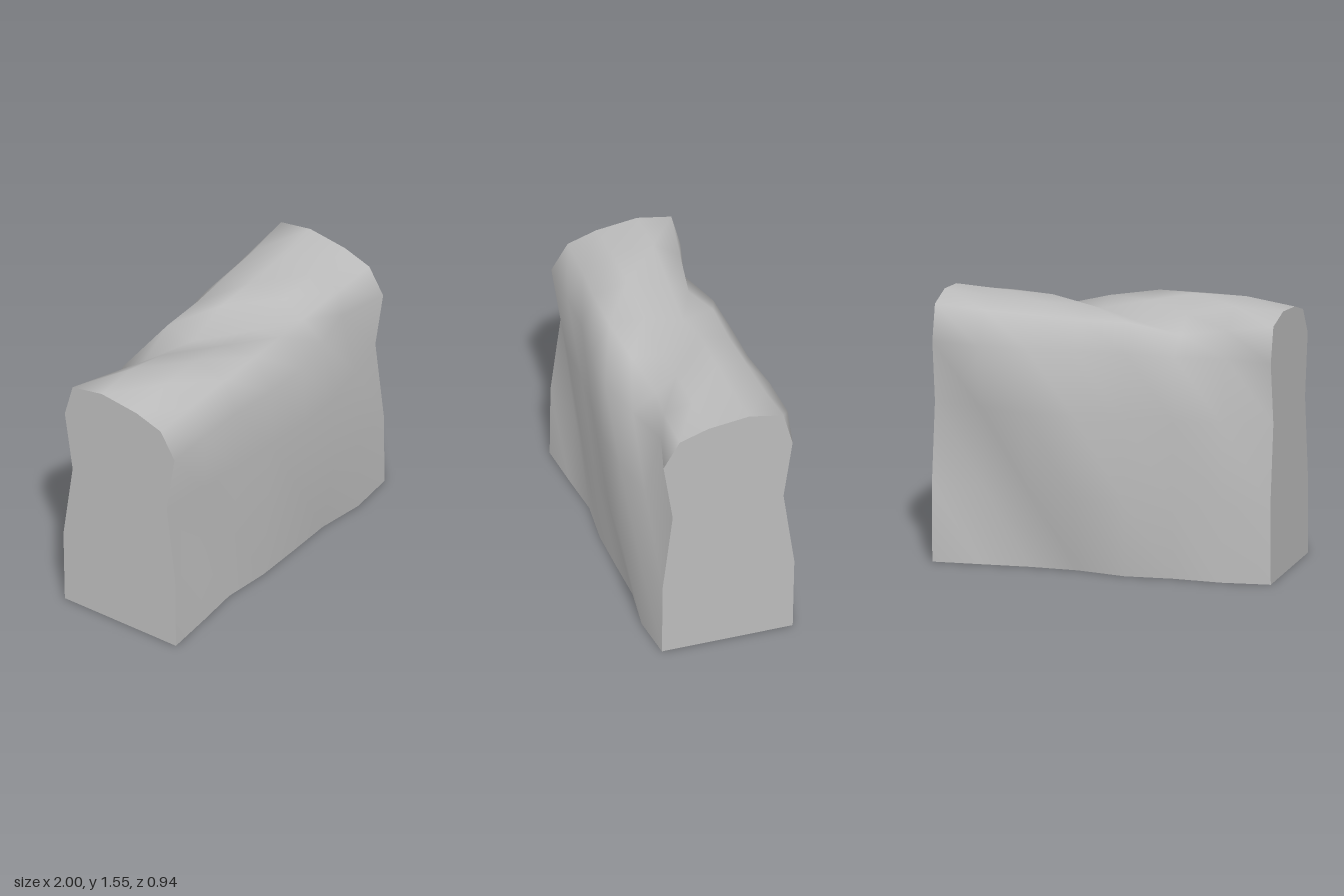
import * as THREE from 'three';

// Full profile, front foot over the crown to back foot: [z, y, inward z, inward y]
const half = [
  [0.42, 0, -1, 0],
  [0.475, 0.45, -1, 0],
  [0.475, 0.93, -1, 0],
  [0.45, 1.3, -1, -0.1],
  [0.33, 1.5, -0.63, -0.77],
  [0.125, 1.55, -0.1, -1],
];
const profile = [...half, ...half.map(([z, y, nz, ny]) => [-z, y, -nz, ny]).reverse()];

// Dents in each profile row, at eight stations along x. The hollow slides about one
// station per row, so it winds over the wall; both ends match so the wall tiles.
const dents = [
  [0.02, 0.04, 0.065, 0.033, 0.033, 0.036, -0.005, 0.02],
  [0.08, 0.13, 0.08, 0.06, 0.045, 0.01, 0.04, 0.08],
  [0.14, 0.08, 0.075, 0.04, 0.005, 0.015, 0.07, 0.14],
  [0.06, 0.06, 0.05, 0.01, 0, 0.065, 0.14, 0.06],
  [0.06, 0.05, 0, 0, 0.055, 0.14, 0.06, 0.06],
  [0.04, 0, 0, 0.06, 0.125, 0.065, 0.055, 0.04],
  [0.01, 0, 0.065, 0.13, 0.05, 0.05, 0.04, 0.01],
  [0, 0.07, 0.14, 0.06, 0.06, 0.045, 0.03, 0],
  [0.065, 0.14, 0.06, 0.05, 0.045, 0.01, 0, 0.065],
  [0.145, 0.08, 0.06, 0.045, 0.01, 0, 0.07, 0.145],
  [0.08, 0.075, 0.045, 0.03, 0.01, 0.08, 0.14, 0.08],
  [0.035, 0.005, 0.02, 0, 0.06, 0.067, 0.05, 0.035],
];
const stations = 8;

// Position of one point of the wall as [z, y]
function wallPoint(row, station) {
  const [z, y, nz, ny] = profile[row];
  const d = dents[row][station];
  return [z + nz * d, y + ny * d];
}

// Smooth skin: front, crown and back in one sheet, open at the bottom
function skinGeometry() {
  const rows = profile.length;
  const positions = [];
  const index = [];
  for (let s = 0; s < stations; s++) {
    for (let r = 0; r < rows; r++) {
      const [z, y] = wallPoint(r, s);
      positions.push(-1 + (2 * s) / (stations - 1), y, z);
      if (s < stations - 1 && r < rows - 1) {
        // Quads are split along the winding hollow
        const a = s * rows + r;
        const b = a + rows;
        index.push(a, b, a + 1, b, b + 1, a + 1);
      }
    }
  }
  const geometry = new THREE.BufferGeometry();
  geometry.setAttribute('position', new THREE.Float32BufferAttribute(positions, 3));
  geometry.setIndex(index);
  geometry.computeVertexNormals();
  return geometry;
}

// Flat end face on the given side (+1 or -1)
function endGeometry(side) {
  const outline = profile.map((_, r) => {
    const [z, y] = wallPoint(r, 0);
    return new THREE.Vector2(-side * z, y);
  });
  return new THREE.ShapeGeometry(new THREE.Shape(outline))
    .rotateY((side * Math.PI) / 2)
    .translate(side, 0, 0);
}

export function createModel() {
  const stone = new THREE.MeshStandardMaterial({ color: 0xbcbcbc, side: THREE.DoubleSide });
  stone.name = 'stone grey';

  const group = new THREE.Group();
  group.name = 'wallSegment';
  const add = (name, geometry) => {
    const mesh = new THREE.Mesh(geometry, stone);
    mesh.name = name;
    group.add(mesh);
  };
  add('wallSkin', skinGeometry());
  add('leftEnd', endGeometry(1));
  add('rightEnd', endGeometry(-1));
  return group;
}
